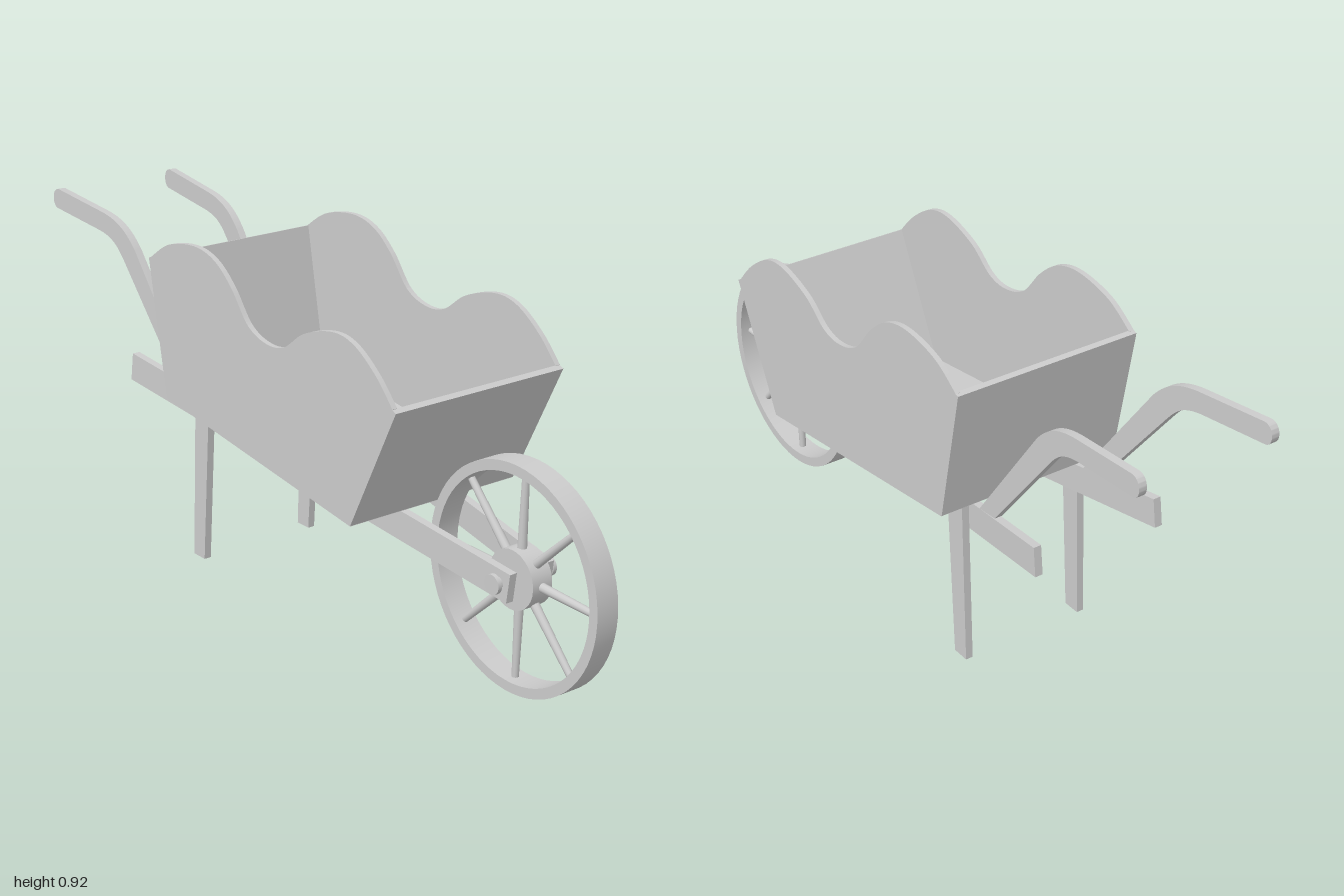
import * as THREE from 'three';
import { toCreasedNormals } from 'three/addons/utils/BufferGeometryUtils.js';

const material = new THREE.MeshStandardMaterial({ color: 0xcccccc });
const WHEEL = { x: 0.712, y: 0.288, r: 0.287, halfWidth: 0.032 };

export function createModel() {
  const model = new THREE.Group();
  model.name = 'wheelbarrow';

  const add = (name, geometry, parent = model) => {
    const mesh = new THREE.Mesh(geometry, material);
    mesh.name = name;
    parent.add(mesh);
    return mesh;
  };
  const polygon = (points) => new THREE.Shape(points.map(([x, y]) => new THREE.Vector2(x, y)));

  // Board cut in the side plane, centred on z = centre(x) so that it can splay outward
  const board = (shape, thickness, centre = () => 0) => {
    const geometry = new THREE.ExtrudeGeometry(shape, { depth: thickness, bevelEnabled: false, curveSegments: 32 });
    const p = geometry.attributes.position;
    for (let i = 0; i < p.count; i++) p.setZ(i, p.getZ(i) - thickness / 2 + centre(p.getX(i)));
    geometry.computeVertexNormals();
    return toCreasedNormals(geometry, 0.6);
  };
  const boardPair = (name, shape, thickness, centre) => {
    add(name + 'Left', board(shape, thickness, centre));
    add(name + 'Right', board(shape, thickness, (x) => -centre(x)));
  };
  const cylinderZ = (radius, length, sides = 32) =>
    new THREE.CylinderGeometry(radius, radius, length, sides).rotateX(Math.PI / 2);

  // Tray: scalloped sides
  const scallops = [
    [-0.424, 0.845], [-0.34, 0.896], [-0.227, 0.917], [-0.142, 0.9], [-0.072, 0.848], [-0.003, 0.768], [0.072, 0.741],
    [0.142, 0.751], [0.222, 0.805], [0.33, 0.837], [0.41, 0.826], [0.49, 0.773], [0.55, 0.71],
  ].map(([x, y]) => new THREE.Vector2(x, y));
  const side = new THREE.Shape();
  side.moveTo(0.392, 0.386);
  side.lineTo(0.55, 0.71);
  side.splineThru(scallops.reverse().slice(1));
  side.lineTo(-0.357, 0.489);
  side.closePath();
  boardPair('traySide', side, 0.014, () => 0.25);

  // Tray: end panels and floor, spanning the full width
  add('trayBack', board(polygon([[-0.433, 0.842], [-0.368, 0.482], [-0.354, 0.484], [-0.419, 0.846]]), 0.514));
  add('trayFront', board(polygon([[0.398, 0.376], [0.562, 0.703], [0.548, 0.71], [0.385, 0.385]]), 0.514));
  add('trayFloor', board(polygon([[-0.366, 0.48], [0.398, 0.375], [0.396, 0.387], [-0.364, 0.492]]), 0.514));

  // Rails, converging toward the wheel
  const railZ = (x) => 0.058 + 0.085 * (0.75 - x);
  boardPair('rail', polygon([[-0.645, 0.44], [0.74, 0.248], [0.75, 0.323], [-0.635, 0.516]]), 0.021, railZ);

  // Handles: sloping strut, bend and rounded grip
  const handle = new THREE.Shape();
  handle.moveTo(-0.456, 0.488);
  handle.lineTo(-0.39, 0.478);
  handle.lineTo(-0.622, 0.8);
  handle.bezierCurveTo(-0.665, 0.852, -0.71, 0.873, -0.78, 0.88);
  handle.lineTo(-0.975, 0.902);
  handle.bezierCurveTo(-1.008, 0.9, -1.008, 0.848, -0.979, 0.847);
  handle.lineTo(-0.785, 0.826);
  handle.bezierCurveTo(-0.72, 0.818, -0.7, 0.795, -0.668, 0.755);
  handle.closePath();
  boardPair('handle', handle, 0.021, (x) => 0.157 + 0.047 * (-0.43 - x));

  // Legs on the outside of the rails
  boardPair('leg', polygon([[-0.367, 0.023], [-0.319, 0.023], [-0.285, 0.467], [-0.345, 0.475]]), 0.02, () => 0.173);

  // Wheel: rim, hub and spokes
  const wheel = new THREE.Group();
  wheel.name = 'wheel';
  wheel.position.set(WHEEL.x, WHEEL.y, 0);
  wheel.rotation.z = -0.03;
  model.add(wheel);

  const ring = new THREE.Shape().absarc(0, 0, WHEEL.r, 0, Math.PI * 2);
  ring.holes.push(new THREE.Path().absarc(0, 0, 0.261, 0, Math.PI * 2, true));
  add('rim', board(ring, WHEEL.halfWidth * 2), wheel);
  add('hub', cylinderZ(0.075, 0.06), wheel);
  for (let i = 0; i < 8; i++) {
    const spoke = new THREE.CylinderGeometry(0.009, 0.012, 0.205, 12).translate(0, 0.163, 0);
    add('spoke', spoke.rotateZ((i * Math.PI) / 4), wheel);
  }

  // Axle with a cap at each end
  add('axle', cylinderZ(0.016, 0.17, 24)).position.set(WHEEL.x, WHEEL.y + 0.004, 0);
  for (const s of [-1, 1]) {
    add('axleCap', cylinderZ(0.025, 0.011, 24)).position.set(WHEEL.x, WHEEL.y + 0.004, s * 0.086);
  }

  return model;
}
